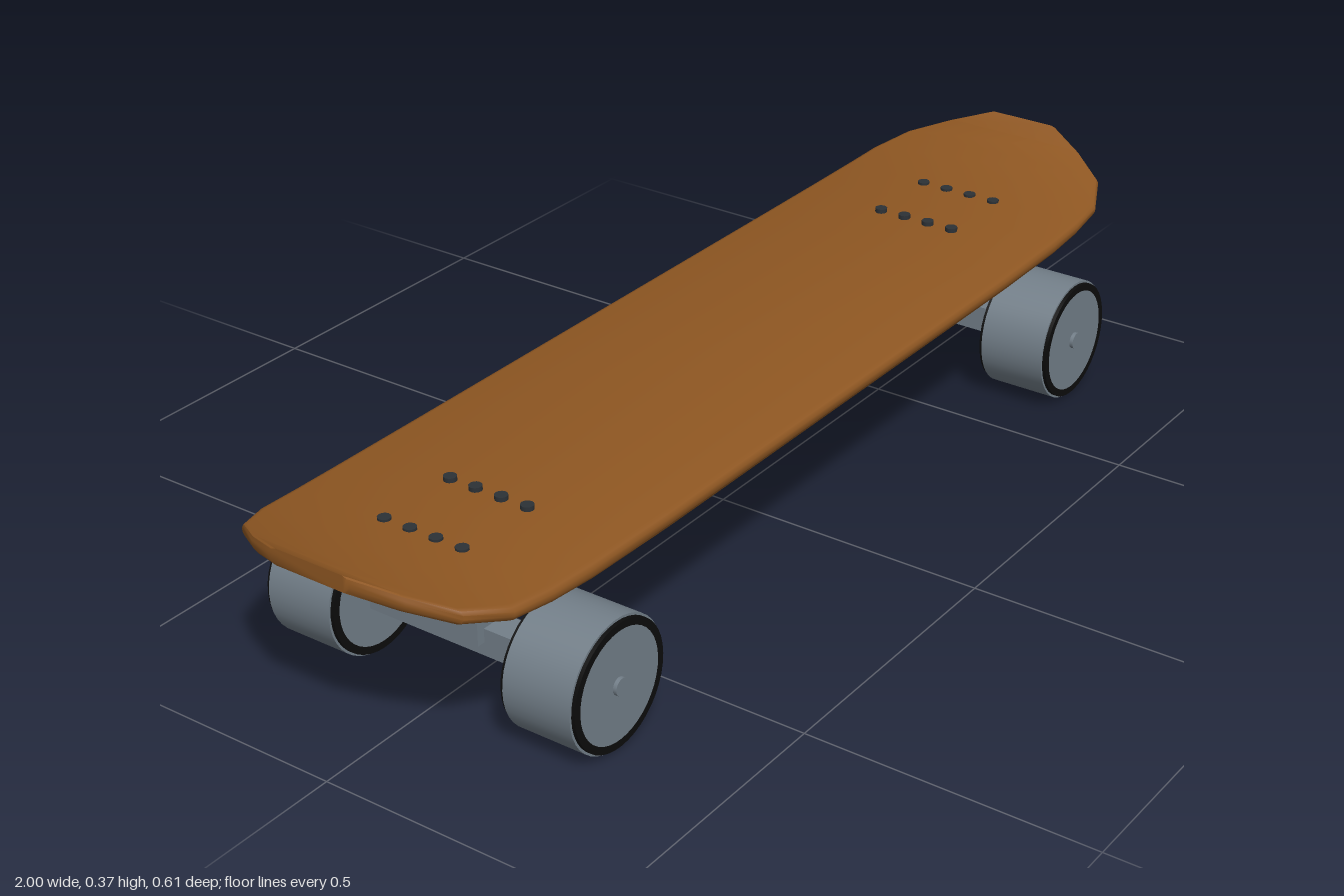
import * as THREE from 'three';
import { toCreasedNormals } from 'three/addons/utils/BufferGeometryUtils.js';

const mat = (name, color) => {
  const m = new THREE.MeshStandardMaterial({ color });
  m.name = name;
  return m;
};

// Deck lofted along x: [x, half width, bottom y, top y] for one half, mirrored
function deckGeometry() {
  const half = [
    [0.5, 0.255, 0.268, 0.298], [0.68, 0.253, 0.27, 0.3], [0.77, 0.25, 0.275, 0.303],
    [0.85, 0.243, 0.283, 0.31], [0.92, 0.21, 0.301, 0.328], [0.965, 0.145, 0.323, 0.351],
    [1, 0.075, 0.345, 0.373],
  ];
  const stations = [...half.map(([x, ...r]) => [-x, ...r]).reverse(), ...half];
  const pos = [], index = [];
  for (const [x, w, b, t] of stations) {
    const side = [
      [w - 0.012, b], [w - 0.004, b + 0.004], [w, b + 0.011],
      [w, t - 0.009], [w - 0.004, t - 0.003], [w - 0.012, t],
    ];
    for (const [z, y] of side) pos.push(x, y, z);
    for (const [z, y] of side.reverse()) pos.push(x, y, -z);
  }
  const n = 12, last = (stations.length - 1) * n;
  for (let i = 0; i < last; i += n) {
    for (let j = 0; j < n; j++) {
      const a = i + j, b = i + (j + 1) % n;
      index.push(a, a + n, b, b, a + n, b + n);
    }
  }
  for (let j = 1; j < n - 1; j++) {
    index.push(0, j, j + 1, last, last + j + 1, last + j);
  }
  const geo = new THREE.BufferGeometry();
  geo.setAttribute('position', new THREE.Float32BufferAttribute(pos, 3));
  geo.setIndex(index);
  return toCreasedNormals(geo, 0.7);
}

// Turned shape whose axis runs along z
function turned(points) {
  const geo = new THREE.LatheGeometry(points.map(([r, z]) => new THREE.Vector2(r, z)), 40);
  return toCreasedNormals(geo.rotateX(Math.PI / 2), 0.5);
}

export function createModel() {
  const wood = mat('wood', 0x8f5722);
  const metal = mat('grey metal', 0x737f89);
  const black = mat('black rubber', 0x0c0c0c);
  const dark = mat('dark bolts', 0x2c3136);

  const add = (parent, name, geo, material, x = 0, y = 0, z = 0) => {
    const m = new THREE.Mesh(geo, material);
    m.name = name;
    m.position.set(x, y, z);
    parent.add(m);
    return m;
  };
  const box = (w, h, d) => new THREE.BoxGeometry(w, h, d);

  const model = new THREE.Group();
  model.name = 'skateboard';
  add(model, 'deck', deckGeometry(), wood);

  // Wheel: plain face towards +z, recessed face towards -z
  const wheelGeo = turned([
    [0, -0.058], [0.058, -0.058], [0.062, -0.067], [0.096, -0.067], [0.096, -0.062], [0.111, -0.062],
    [0.111, 0.062], [0.096, 0.062], [0.096, 0.067], [0, 0.067],
  ]);
  const rimGeo = turned([[0.094, -0.0685], [0.107, -0.0685], [0.107, 0.0685], [0.094, 0.0685]]);
  const grooveGeo = new THREE.RingGeometry(0.06, 0.066, 40).rotateY(Math.PI);
  const axleGeo = new THREE.CylinderGeometry(0.015, 0.015, 0.61, 20).rotateX(Math.PI / 2);
  const boltGeo = new THREE.CylinderGeometry(0.011, 0.011, 0.03, 12);

  for (const side of [-1, 1]) {
    const truck = new THREE.Group();
    truck.name = side < 0 ? 'rightTruck' : 'leftTruck';
    truck.position.x = side * 0.688;
    model.add(truck);

    // Mount, post and axle
    add(truck, 'basePlate', box(0.186, 0.027, 0.186), metal, 0, 0.2585);
    add(truck, 'post', box(0.052, 0.08, 0.072), metal, 0, 0.21);
    add(truck, 'hanger', box(0.08, 0.064, 0.13), metal, 0, 0.144);
    add(truck, 'axleBeam', box(0.05, 0.048, 0.33), metal, 0, 0.112);
    add(truck, 'axle', axleGeo, metal, 0, 0.111);

    for (const s of [-1, 1]) {
      const wheel = new THREE.Group();
      wheel.name = s < 0 ? 'backWheel' : 'frontWheel';
      wheel.position.set(0, 0.111, s * 0.2315);
      truck.add(wheel);
      add(wheel, 'tyre', wheelGeo, metal);
      add(wheel, 'rim', rimGeo, black);
      add(wheel, 'groove', grooveGeo, black, 0, 0, -0.0675);
    }

    // Two rows of bolts through the deck
    for (const x of [-0.075, 0.075]) {
      for (const z of [-0.075, -0.025, 0.025, 0.075]) add(truck, 'bolt', boltGeo, dark, x, 0.292, z);
    }
  }
  return model;
}
